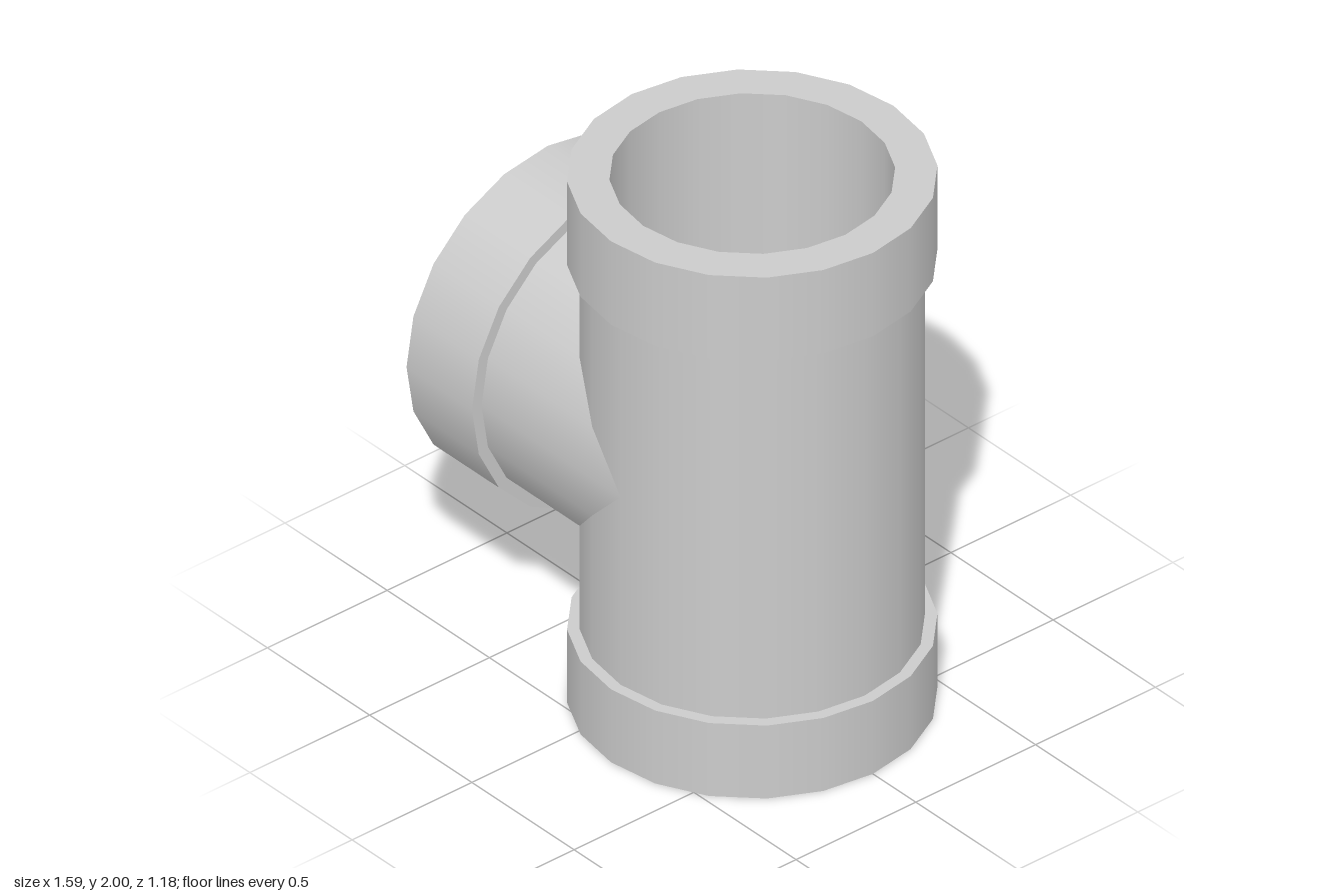
import * as THREE from 'three';
import { mergeGeometries } from 'three/addons/utils/BufferGeometryUtils.js';

const SIDES = 20;
const PIPE = 0.55, COLLAR = 0.59, BORE = 0.455;

// Band around the y axis between two profile ends [radius, height];
// a height may be a function of the point's x, which gives a mitred edge.
function band([r0, h0], [r1, h1]) {
  const position = [], normal = [], index = [];
  const height = (h, x) => (typeof h === 'function' ? h(x) : h);
  const n = r0 === r1
    ? [height(h1, 0) > height(h0, 0) ? 1 : -1, 0] // cylinder wall
    : [0, r1 > r0 ? -1 : 1];                      // flat ring
  for (let i = 0; i <= SIDES; i++) {
    const a = (i / SIDES) * Math.PI * 2, c = Math.cos(a), s = Math.sin(a);
    for (const [r, h] of [[r0, h0], [r1, h1]]) {
      position.push(r * c, height(h, r * c), r * s);
      normal.push(n[0] * c, n[1], n[0] * s);
    }
    if (i < SIDES) {
      const k = i * 2;
      index.push(k, k + 1, k + 2, k + 2, k + 1, k + 3);
    }
  }
  const g = new THREE.BufferGeometry();
  g.setAttribute('position', new THREE.Float32BufferAttribute(position, 3));
  g.setAttribute('normal', new THREE.Float32BufferAttribute(normal, 3));
  g.setIndex(index);
  return g;
}

// One arm of the tee, from the mitred joint at its base to the open end at y = 1
function arm(name, collarStart, miter, material) {
  const group = new THREE.Group();
  group.name = name;
  const add = (part, ...bands) => {
    const mesh = new THREE.Mesh(mergeGeometries(bands), material);
    mesh.name = part;
    group.add(mesh);
  };
  add('pipeWall', band([PIPE, miter], [PIPE, collarStart]));
  add('collar',
    band([PIPE, collarStart], [COLLAR, collarStart]),
    band([COLLAR, collarStart], [COLLAR, 1]),
    band([COLLAR, 1], [BORE, 1]));
  add('bore', band([BORE, 1], [BORE, miter]));
  return group;
}

export function createModel() {
  const material = new THREE.MeshStandardMaterial({ color: 0xcccccc });
  const model = new THREE.Group();
  model.name = 'pipeTee';

  // The upright run is cut away only on the branch side
  const runMiter = (x) => Math.max(0, -x);
  const upper = arm('upperArm', 0.68, runMiter, material);
  const lower = arm('lowerArm', 0.72, runMiter, material);
  lower.rotation.x = Math.PI;

  // The side branch is cut on both halves to meet the run
  const branch = arm('sideBranch', 0.68, Math.abs, material);
  branch.rotation.z = Math.PI / 2;

  for (const part of [upper, lower, branch]) {
    part.position.set(0.2, 1, 0);
    model.add(part);
  }
  return model;
}
